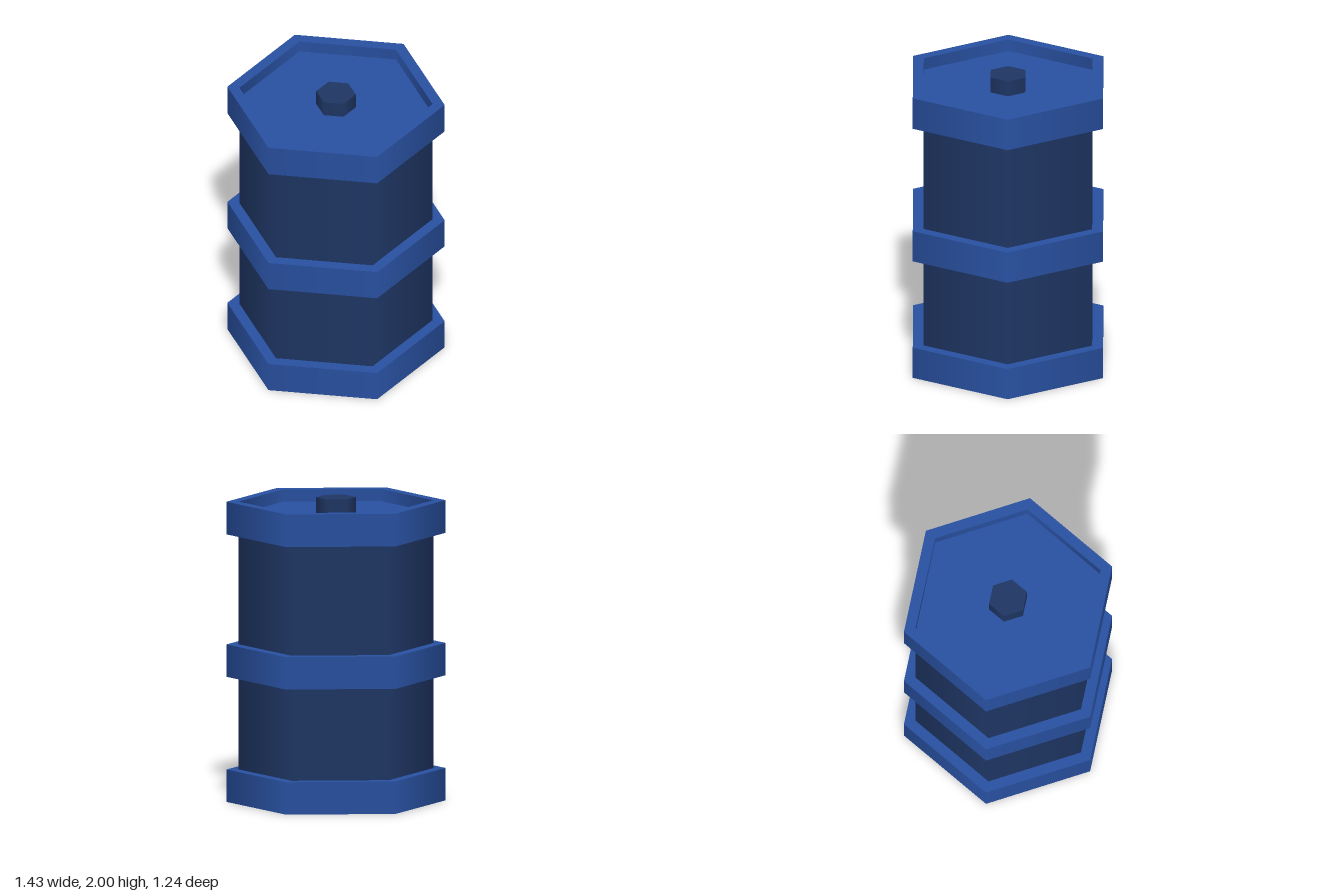
import * as THREE from 'three';

const SIDES = 6;
const BAND_R = 0.715, BODY_R = 0.635, BOLT_R = 0.13;
const TOP = 1.975, FLOOR = 1.895;

const blue = new THREE.MeshStandardMaterial({ color: 0x2850a0 });
const darkBlue = new THREE.MeshStandardMaterial({ color: 0x1e3563 });

// Six-sided turned part: smooth around the axis, each profile corner kept
// sharp by doubling its point.
function hexTurned(name, profile, material) {
  const points = profile.flatMap(([r, y], i) => {
    const end = i === 0 || i === profile.length - 1;
    return end ? [new THREE.Vector2(r, y)] : [new THREE.Vector2(r, y), new THREE.Vector2(r, y)];
  });
  const mesh = new THREE.Mesh(new THREE.LatheGeometry(points, SIDES, Math.PI / 2), material);
  mesh.name = name;
  return mesh;
}

export function createModel() {
  const barrel = new THREE.Group();
  barrel.name = 'barrel';

  // Main column, its ends tucked inside the bands
  barrel.add(hexTurned('body', [[BODY_R, 0.21], [BODY_R, 1.76]], darkBlue));

  // Closed foot band
  barrel.add(hexTurned('bottomBand',
    [[0, 0], [BAND_R, 0], [BAND_R, 0.213], [BODY_R, 0.213]], blue));

  // Band around the middle
  barrel.add(hexTurned('middleBand',
    [[BODY_R, 0.823], [BAND_R, 0.823], [BAND_R, 1.036], [BODY_R, 1.036]], blue));

  // Top band with its raised rim and sunken lid
  barrel.add(hexTurned('topBand',
    [[BODY_R, 1.76], [BAND_R, 1.76], [BAND_R, TOP], [BODY_R, TOP], [BODY_R, FLOOR], [0, FLOOR]], blue));

  // Plug standing on the lid
  barrel.add(hexTurned('plug', [[BOLT_R, FLOOR], [BOLT_R, 2], [0, 2]], darkBlue));

  return barrel;
}
